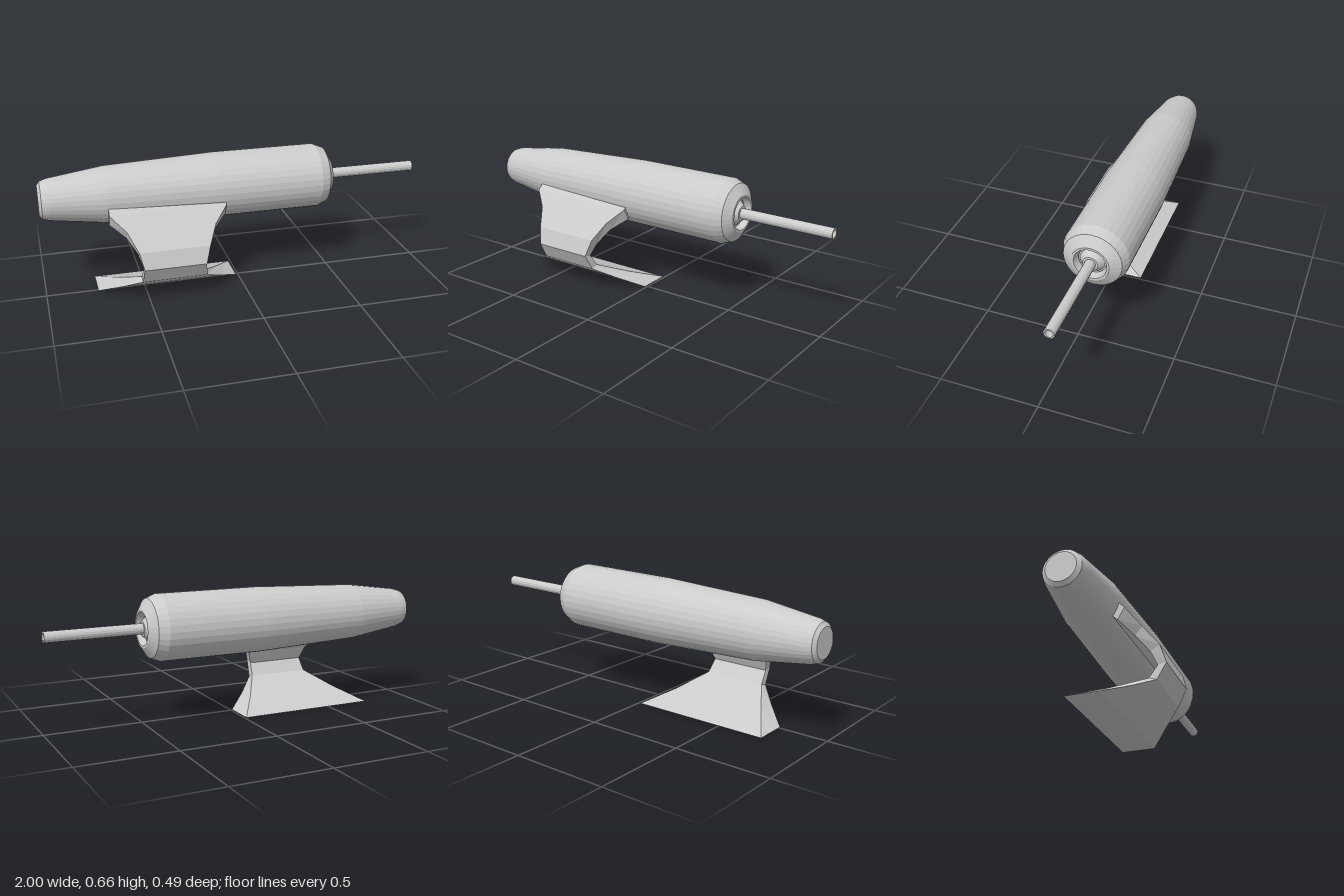
import * as THREE from 'three';

const AXIS_Y = 0.492, AXIS_Z = -0.078;
const material = new THREE.MeshStandardMaterial({ color: 0xcccccc, flatShading: true, side: THREE.DoubleSide });

// Turned part along x; profile is [x, radius] pairs from tail to nose
function turned(name, profile, sides) {
  const geo = new THREE.LatheGeometry(profile.map(([x, r]) => new THREE.Vector2(r, x)), sides);
  geo.rotateZ(-Math.PI / 2);
  const mesh = new THREE.Mesh(geo, material);
  mesh.name = name;
  mesh.position.set(0, AXIS_Y, AXIS_Z);
  return mesh;
}

// Curved bracket lofted through four-cornered sections:
// [outer z, outer y, outer x min, x max, inner z, inner y, inner x min, x max]
function bracket() {
  const sections = [
    [0.045, 0.485, -0.67, -0.08, 0.005, 0.43, -0.67, -0.08],
    [0.093, 0.44, -0.67, -0.08, 0.06, 0.38, -0.67, -0.08],
    [0.152, 0.37, -0.595, -0.15, 0.118, 0.325, -0.595, -0.15],
    [0.222, 0.285, -0.55, -0.195, 0.175, 0.257, -0.55, -0.195],
    [0.247, 0.2, -0.53, -0.22, 0.205, 0.192, -0.53, -0.22],
    [0.202, 0.117, -0.535, -0.21, 0.163, 0.13, -0.535, -0.21],
    [0.11, 0.058, -0.63, -0.12, 0.01, 0.063, -0.63, -0.12],
    [0.01, 0, -0.74, -0.01, -0.16, 0, -0.74, -0.01],
  ];
  const pos = [], index = [];
  for (const [oz, oy, oa, ob, iz, iy, ia, ib] of sections) {
    pos.push(oa, oy, oz, ob, oy, oz, ib, iy, iz, ia, iy, iz);
  }
  for (let s = 0; s < sections.length - 1; s++) {
    for (let c = 0; c < 4; c++) {
      const a = s * 4 + c, b = s * 4 + (c + 1) % 4;
      index.push(a, a + 4, b + 4, a, b + 4, b);
    }
  }
  const e = (sections.length - 1) * 4;
  index.push(0, 1, 2, 0, 2, 3, e, e + 2, e + 1, e, e + 3, e + 2);
  const indexed = new THREE.BufferGeometry();
  indexed.setAttribute('position', new THREE.Float32BufferAttribute(pos, 3));
  indexed.setIndex(index);
  const geo = indexed.toNonIndexed();
  geo.computeVertexNormals();
  const mesh = new THREE.Mesh(geo, material);
  mesh.name = 'bracket';
  return mesh;
}

export function createModel() {
  const group = new THREE.Group();
  group.name = 'mountedBarrel';

  // Tapered housing with a recessed nose
  group.add(turned('housing', [
    [-1, 0], [-1, 0.075], [-0.985, 0.095], [-0.95, 0.106], [-0.67, 0.145], [-0.1, 0.167],
    [0.435, 0.167], [0.485, 0.147], [0.518, 0.095], [0.518, 0.083], [0.46, 0.07], [0.46, 0],
  ], 32));

  // Raised collar and cone inside the nose recess
  group.add(turned('collar', [
    [0.44, 0.07], [0.485, 0.07], [0.485, 0.062], [0.515, 0.038], [0.515, 0],
  ], 32));

  // Thin tube with an open end
  group.add(turned('rod', [
    [0.45, 0.027], [1, 0.027], [1, 0.019], [0.9, 0.019], [0.9, 0],
  ], 16));

  group.add(bracket());
  return group;
}
